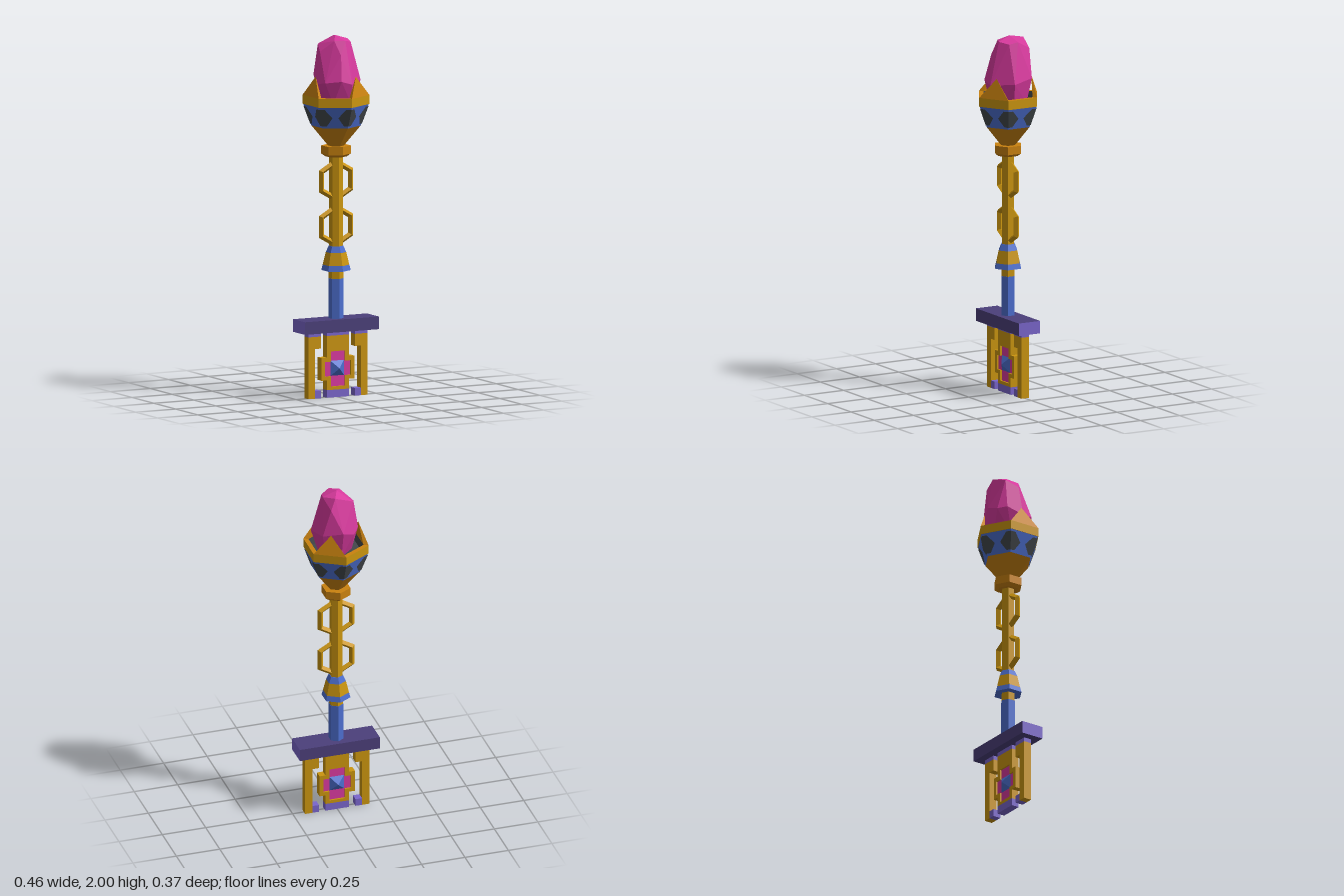
import * as THREE from 'three';
import { ConvexGeometry } from 'three/addons/geometries/ConvexGeometry.js';

const mat = (name, color, side = THREE.FrontSide) => {
  const m = new THREE.MeshStandardMaterial({ color, flatShading: true, side });
  m.name = name;
  return m;
};

export function createModel() {
  const gold = mat('gold', 0xcb950f);
  const orange = mat('orange gold', 0xca820f);
  const blue = mat('blue', 0x4d6fd0);
  const lilac = mat('lilac', 0x7a66cc);
  const plum = mat('dark purple', 0x4c407b);
  const pink = mat('pink', 0xd83a9e);
  const grey = mat('dark grey', 0x43484c, THREE.DoubleSide);

  const root = new THREE.Group();
  root.name = 'keyStaff';
  const add = (name, geo, material) => {
    const m = new THREE.Mesh(geo, material);
    m.name = name;
    root.add(m);
    return m;
  };
  const box = (name, x0, x1, y0, y1, depth, material) =>
    add(name, new THREE.BoxGeometry(x1 - x0, y1 - y0, depth), material)
      .position.set((x0 + x1) / 2, (y0 + y1) / 2, 0);
  // six-sided section with corners towards +z and -z
  const hex = (name, r0, y0, r1, y1, material) => {
    add(name, new THREE.CylinderGeometry(r1, r0, y1 - y0, 6), material).position.y = (y0 + y1) / 2;
  };
  const corner = (k, r, y) =>
    new THREE.Vector3(r * Math.sin(k * Math.PI / 3), y, r * Math.cos(k * Math.PI / 3));

  // Key bit: cross beam and side posts
  const D = 0.046;
  add('beam', new THREE.BoxGeometry(0.46, 0.07, 0.136), [lilac, lilac, plum, plum, plum, plum])
    .position.y = 0.4;
  for (const s of [-1, 1]) {
    const side = (name, a, b, y0, y1, m) =>
      box(name, Math.min(s * a, s * b), Math.max(s * a, s * b), y0, y1, D, m);
    side('post', 0.143, 0.185, 0, 0.342, gold);
    side('postShoulder', 0.105, 0.143, 0.275, 0.342, gold);
    side('postCap', 0.105, 0.185, 0.342, 0.365, lilac);
    side('postFoot', 0.105, 0.143, 0, 0.042, lilac);
  }

  // Centre frame: stepped cross with a cross-shaped opening
  const cross = (Ctor, w, y0, y1, W, h0, h1) => new Ctor([
    [-w, y0], [w, y0], [w, h0], [W, h0], [W, h1], [w, h1],
    [w, y1], [-w, y1], [-w, h1], [-W, h1], [-W, h0], [-w, h0],
  ].map(([x, y]) => new THREE.Vector2(x, y)));
  const frame = cross(THREE.Shape, 0.068, 0.042, 0.342, 0.102, 0.096, 0.222);
  frame.holes.push(cross(THREE.Path, 0.045, 0.06, 0.255, 0.08, 0.117, 0.198));
  const frameGeo = new THREE.ExtrudeGeometry(frame, { depth: D, bevelEnabled: false });
  add('centreFrame', frameGeo.translate(0, 0, -D / 2), gold);
  box('frameCap', -0.068, 0.068, 0.342, 0.365, D, lilac);
  box('frameFoot', -0.068, 0.068, 0, 0.042, D, lilac);
  const inlay = cross(THREE.Shape, 0.045, 0.06, 0.255, 0.08, 0.117, 0.198);
  const inlayGeo = new THREE.ExtrudeGeometry(inlay, { depth: 0.026, bevelEnabled: false });
  add('inlay', inlayGeo.translate(0, 0, -0.013), pink);
  for (const s of [1, -1]) {
    const stud = new THREE.ConeGeometry(0.043 * Math.SQRT2, 0.03, 4)
      .rotateY(Math.PI / 4).rotateX(s * Math.PI / 2);
    add('stud', stud, blue).position.set(0, 0.16, s * 0.027);
  }

  // Shaft and bell
  hex('lowerShaft', 0.041, 0.435, 0.041, 0.655, blue);
  hex('shaftBand', 0.04, 0.655, 0.04, 0.7, gold);
  hex('bellLip', 0.081, 0.7, 0.073, 0.73, blue);
  hex('bell', 0.073, 0.73, 0.056, 0.8, gold);
  hex('bellTop', 0.056, 0.8, 0.04, 0.835, blue);
  hex('upperShaft', 0.037, 0.835, 0.037, 1.345, gold);

  // Hexagonal loops on the shaft
  for (const y of [0.945, 1.197]) {
    const loop = new THREE.TorusGeometry(0.104, 0.018, 4, 6).rotateZ(Math.PI / 6);
    add('loop', loop, gold).position.y = y;
  }

  // Collar and cup
  hex('collarBase', 0.06, 1.33, 0.081, 1.345, orange);
  hex('collar', 0.081, 1.345, 0.081, 1.39, orange);
  hex('cupBase', 0.044, 1.39, 0.135, 1.5, orange);
  const band = (r0, y0, r1, y1) =>
    new THREE.CylinderGeometry(r1, r0, y1 - y0, 6, 1, true).translate(0, (y0 + y1) / 2, 0);
  add('cupBand', band(0.135, 1.5, 0.18, 1.62), blue);
  add('rim', band(0.183, 1.62, 0.183, 1.67), gold);
  const flatRing = (inner) =>
    new THREE.RingGeometry(inner, 0.183, 6, 1, Math.PI / 6).rotateX(-Math.PI / 2);
  add('rimTop', flatRing(0.154), orange).position.y = 1.67;
  add('rimUnderside', flatRing(0.175).rotateX(Math.PI), gold).position.y = 1.62;
  add('cupLining', band(0.145, 1.62, 0.154, 1.67), grey);
  add('cupFloor', new THREE.CircleGeometry(0.146, 6, Math.PI / 6).rotateX(-Math.PI / 2), grey)
    .position.y = 1.625;

  // Dark facets folded over each corner of the cup band
  const half = [[0, 0.1], [0.17, 0.1], [0.4, 0.5], [0.17, 0.9], [0, 0.9]];
  for (let k = 0; k < 6; k++) {
    for (const flip of [false, true]) {
      const pts = half.map(([u, v]) => {
        const r = 0.138 + 0.045 * v, y = 1.5 + 0.12 * v;
        return corner(k, r, y).lerp(corner(k + 1, r, y), flip ? 1 - u : u);
      });
      if (flip) pts.reverse();
      const geo = new THREE.BufferGeometry().setFromPoints(pts);
      geo.setIndex([0, 1, 2, 0, 2, 3, 0, 3, 4]);
      geo.computeVertexNormals();
      add('cupFacet', geo, grey);
    }
  }

  // Three prongs, on every second side of the rim
  for (const k of [0, 2, 4]) {
    add('prong', new ConvexGeometry([
      corner(k, 0.183, 1.67), corner(k + 1, 0.183, 1.67),
      corner(k, 0.154, 1.67), corner(k + 1, 0.154, 1.67),
      corner(k + 0.5, 0.127, 1.78),
    ]), orange);
  }

  // Rough-cut crystal
  const crystal = [
    [0, 2, -0.01], [0.03, 1.99, -0.08], [0.082, 1.975, -0.015], [0.072, 1.965, 0.035],
    [0.02, 1.975, 0.07], [-0.035, 1.975, 0.045], [-0.1, 1.915, 0], [-0.075, 1.95, -0.07],
    [-0.02, 1.9, 0.095], [0.06, 1.93, -0.1],
    [0, 1.79, -0.135], [0.105, 1.77, -0.09], [0.134, 1.75, 0.035], [0.03, 1.74, 0.13],
    [-0.035, 1.76, 0.13], [-0.11, 1.75, 0.08], [-0.13, 1.74, 0.01], [-0.1, 1.78, -0.075],
    [-0.065, 1.77, -0.118],
    [0.1, 1.63, 0.02], [0.04, 1.63, 0.1], [-0.06, 1.63, 0.08], [-0.08, 1.63, -0.03],
    [0, 1.63, -0.1], [0.08, 1.63, -0.07],
  ].map((p) => new THREE.Vector3(...p));
  add('crystal', new ConvexGeometry(crystal), pink);

  return root;
}
